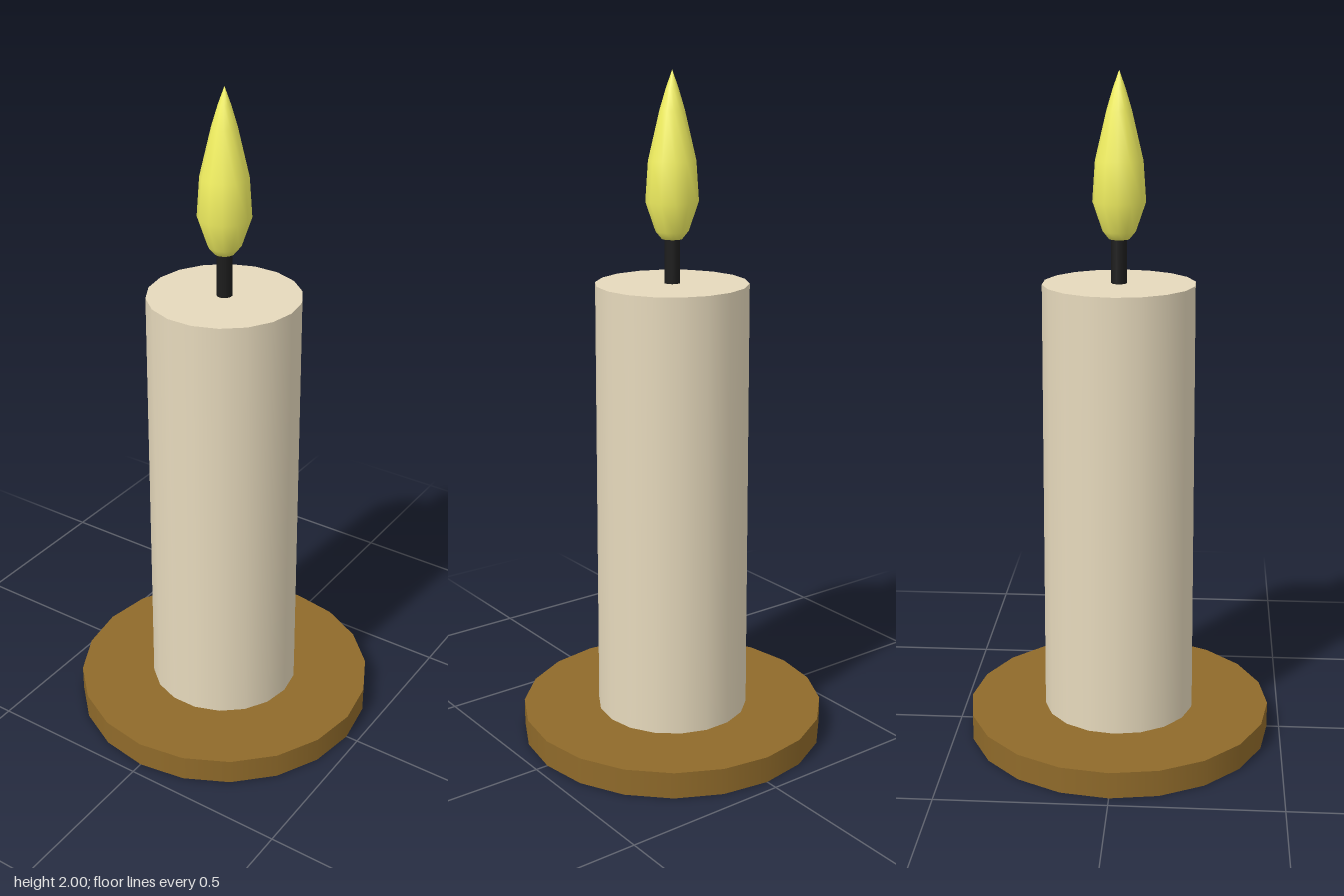
import * as THREE from 'three';

const material = (color) => new THREE.MeshStandardMaterial({ color });

export function createModel() {
  const group = new THREE.Group();

  function add(name, geometry, color, y = 0) {
    const mesh = new THREE.Mesh(geometry, material(color));
    mesh.name = name;
    mesh.position.y = y;
    group.add(mesh);
    return mesh;
  }

  // Wooden dish
  add('base', new THREE.CylinderGeometry(0.462, 0.462, 0.08, 20), 0x8f6a2a, 0.04);

  // Slightly tapered wax body, with a corner on the x axis
  const wax = new THREE.CylinderGeometry(0.224, 0.23, 1.32, 18);
  add('candle', wax.rotateY(Math.PI / 2), 0xe6d9bc, 0.74);

  // Wick reaching into the flame
  add('wick', new THREE.CylinderGeometry(0.023, 0.023, 0.16, 10), 0x1c1c1c, 1.47);

  // Teardrop flame
  const profile = [
    [0, 1.526], [0.03, 1.528], [0.048, 1.55], [0.077, 1.635],
    [0.069, 1.75], [0.036, 1.89], [0.018, 1.95], [0, 2],
  ].map(([r, y]) => new THREE.Vector2(r, y));
  add('flame', new THREE.LatheGeometry(profile, 12), 0xf4f262);

  return group;
}
